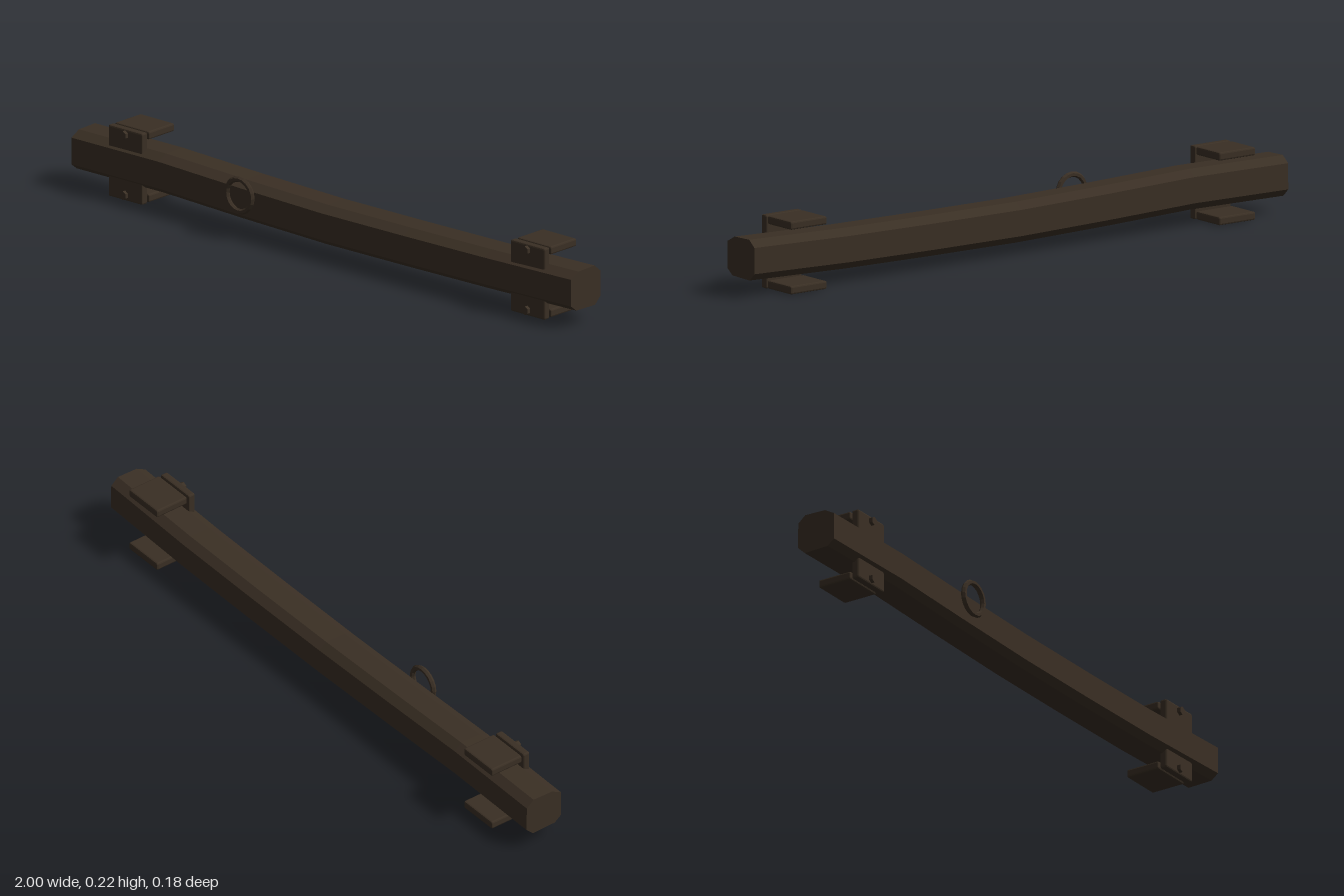
import * as THREE from 'three';
import { RoundedBoxGeometry } from 'three/addons/geometries/RoundedBoxGeometry.js';

const brown = new THREE.MeshStandardMaterial({ color: 0x3a2f24, flatShading: true });
brown.name = 'dark brown';

function add(parent, name, geometry, x = 0, y = 0, z = 0) {
  const mesh = new THREE.Mesh(geometry, brown);
  mesh.name = name;
  mesh.position.set(x, y, z);
  parent.add(mesh);
  return mesh;
}

// Sagging timber lofted from chamfered cross-sections
function beamGeometry() {
  // corners as [z, y], counter-clockwise seen from +x
  const section = [
    [0.063, 0.072], [0.04, 0.054], [-0.042, 0.052], [-0.066, 0.075],
    [-0.065, 0.154], [-0.04, 0.175], [0.03, 0.173], [0.063, 0.155],
  ];
  // stations as [x, y shift, z shift]
  const stations = [
    [-1, -0.003, -0.003], [-0.65, 0, -0.001], [-0.33, -0.009, 0],
    [0, -0.015, 0], [0.33, -0.013, -0.002], [0.65, -0.009, -0.003], [1, 0, 0],
  ];
  const n = section.length, positions = [], index = [];
  for (const [x, dy, dz] of stations) {
    for (const [z, y] of section) positions.push(x, y + dy, z + dz);
  }
  for (let s = 0; s < stations.length - 1; s++) {
    for (let i = 0; i < n; i++) {
      const a = s * n + i, b = s * n + (i + 1) % n;
      index.push(a, b + n, b, a, a + n, b + n);
    }
  }
  // end caps
  const last = (stations.length - 1) * n;
  for (let i = 1; i < n - 1; i++) {
    index.push(0, i + 1, i, last, last + i, last + i + 1);
  }
  // sections run front, down, back, up: flip any triangle facing inwards
  const p = (k) => new THREE.Vector3().fromArray(positions, k * 3);
  for (let t = 0; t < index.length; t += 3) {
    const [a, b, c] = [p(index[t]), p(index[t + 1]), p(index[t + 2])];
    const normal = b.clone().sub(a).cross(c.clone().sub(a));
    const out = a.clone().add(b).add(c).divideScalar(3).sub(new THREE.Vector3(0, 0.11, 0));
    if (Math.abs(normal.x) < normal.length() * 0.9) out.x = 0;
    if (normal.dot(out) < 0) [index[t + 1], index[t + 2]] = [index[t + 2], index[t + 1]];
  }
  const geometry = new THREE.BufferGeometry();
  geometry.setAttribute('position', new THREE.Float32BufferAttribute(positions, 3));
  geometry.setIndex(index);
  const flat = geometry.toNonIndexed();
  flat.computeVertexNormals();
  return flat;
}

// Bracket: upright plate, two shelves running back and two bolt heads
function bracket(name, x) {
  const group = new THREE.Group();
  group.name = name;
  group.position.x = x;
  add(group, 'uprightPlate', new RoundedBoxGeometry(0.136, 0.222, 0.024, 1, 0.005), 0, 0.111, 0.04);
  for (const side of [-1, 1]) {
    const label = side > 0 ? 'upper' : 'lower';
    add(group, label + 'Shelf', new RoundedBoxGeometry(0.136, 0.025, 0.113, 1, 0.005),
      0, 0.1115 + side * 0.0975, -0.034);
    const bolt = new THREE.CylinderGeometry(0.0135, 0.0135, 0.014, 6).rotateX(Math.PI / 2);
    add(group, label + 'Bolt', bolt, 0, 0.1115 + side * 0.0935, 0.056);
  }
  return group;
}

export function createModel() {
  const model = new THREE.Group();
  model.name = 'barBeam';
  add(model, 'beam', beamGeometry());
  model.add(bracket('rightBracket', -0.793), bracket('leftBracket', 0.815));
  // pull ring hanging in front of the beam
  add(model, 'pullRing', new THREE.TorusGeometry(0.05, 0.0085, 6, 20), -0.307, 0.1325, 0.084);
  return model;
}
